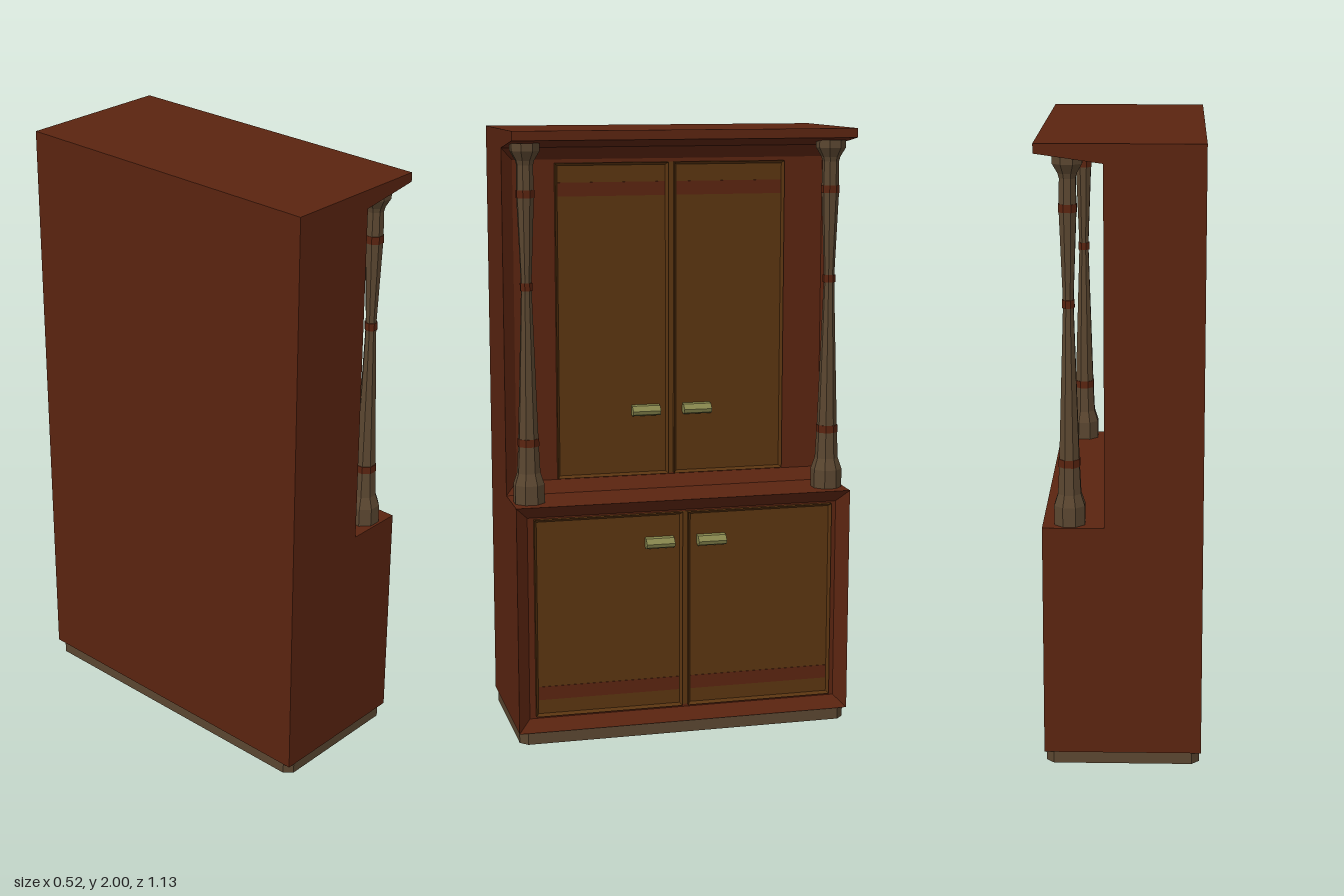
import * as THREE from 'three';

const mat = (name, color) => {
  const m = new THREE.MeshStandardMaterial({ color });
  m.name = name;
  m.flatShading = true;
  return m;
};

export function createModel() {
  const wood = mat('red wood', 0x5a2410);
  const panel = mat('door wood', 0x5a3410);
  const stone = mat('column brown', 0x5a4630);
  const brass = mat('handle brass', 0x85844c);
  const root = new THREE.Group();
  root.name = 'cabinet';

  const add = (name, geo, material, x = 0, y = 0, z = 0, parent = root) => {
    const mesh = new THREE.Mesh(geo, material);
    mesh.name = name;
    mesh.position.set(x, y, z);
    parent.add(mesh);
    return mesh;
  };
  const box = (name, m, x0, x1, y0, y1, z0, z1, parent) =>
    add(name, new THREE.BoxGeometry(x1 - x0, y1 - y0, z1 - z0), m,
      (x0 + x1) / 2, (y0 + y1) / 2, (z0 + z1) / 2, parent);
  const shapeOf = (pts) => new THREE.Shape(pts.map((p) => new THREE.Vector2(...p)));

  // Rectangular rim facing +x: straight outer sides, inner face sloping back by depth
  const rim = (x, depth, y0, y1, z0, z1, inset) => {
    const ring = (px, i) => [
      [px, y0 + i, z1 - i], [px, y0 + i, z0 + i], [px, y1 - i, z0 + i], [px, y1 - i, z1 - i]];
    const rings = [ring(x - depth, 0), ring(x, 0), ring(x - depth, inset)];
    const pos = [];
    for (let r = 0; r < 2; r++) {
      for (let k = 0; k < 4; k++) {
        const n = (k + 1) % 4;
        const a = rings[r][k], b = rings[r][n], c = rings[r + 1][n], d = rings[r + 1][k];
        pos.push(...a, ...b, ...c, ...a, ...c, ...d);
      }
    }
    const g = new THREE.BufferGeometry();
    g.setAttribute('position', new THREE.Float32BufferAttribute(pos, 3));
    g.computeVertexNormals();
    return g;
  };

  // Carcass: side silhouette with counter step and sloping cornice
  const body = new THREE.ExtrudeGeometry(shapeOf([
    [-0.26, 0.04], [0.215, 0.04], [0.215, 0.8], [0.02, 0.8], [0.02, 1.94],
    [0.05, 1.94], [0.26, 1.97], [0.26, 2], [-0.26, 2],
  ]), { depth: 1.13, bevelEnabled: false });
  add('carcass', body, wood, 0, 0, -0.565);
  add('lowerFrame', rim(0.245, 0.03, 0.04, 0.8, -0.565, 0.565, 0.04), wood);
  add('upperFrame', rim(0.05, 0.03, 0.8, 1.94, -0.565, 0.565, 0.04), wood);

  // Hollow plinth with cut corners
  const cutRect = (x0, x1, z, c) => [
    [x0 + c, -z], [x1 - c, -z], [x1, -z + c], [x1, z - c],
    [x1 - c, z], [x0 + c, z], [x0, z - c], [x0, -z + c]];
  const plinthShape = shapeOf(cutRect(-0.255, 0.24, 0.56, 0.025));
  plinthShape.holes.push(shapeOf(cutRect(-0.24, 0.225, 0.545, 0.02)));
  const plinth = new THREE.ExtrudeGeometry(plinthShape, { depth: 0.04, bevelEnabled: false });
  add('plinth', plinth.rotateX(-Math.PI / 2), stone);

  // Handle: short pull with a sloping top and undercut grip
  const handleGeo = new THREE.ExtrudeGeometry(shapeOf([
    [0, -0.012], [0.015, -0.018], [0.03, -0.012], [0.034, 0],
    [0.026, 0.008], [0.018, 0.016], [0, 0.018],
  ]), { depth: 0.095, bevelEnabled: false }).translate(0, 0, -0.0475);

  // Door pairs with moulded edges, painted bands and pulls
  const doorPair = (name, x, y0, y1, width, handleY, bandY) => {
    const pair = new THREE.Group();
    pair.name = name;
    root.add(pair);
    box('centreStrip', panel, x, x + 0.004, y0, y1, -0.012, 0.012, pair);
    for (const s of [-1, 1]) {
      const z0 = s > 0 ? 0.01 : -width, z1 = s > 0 ? width : -0.01;
      box('doorPanel', panel, x, x + 0.007, y0 + 0.004, y1 - 0.004, z0 + 0.004, z1 - 0.004, pair);
      add('doorMoulding', rim(x + 0.018, 0.016, y0, y1, z0, z1, 0.012), panel, 0, 0, 0, pair);
      box('doorBand', wood, x + 0.006, x + 0.009, bandY, bandY + 0.045, z0 + 0.01, z1 - 0.01, pair);
      add('handle', handleGeo, brass, x + 0.007, handleY, s * 0.088, pair);
    }
  };
  doorPair('lowerDoors', 0.215, 0.09, 0.755, 0.505, 0.657, 0.145);
  doorPair('upperDoors', 0.02, 0.845, 1.888, 0.388, 1.065, 1.78);

  // Eight-sided columns, waisted in the middle, with three red rings
  const profile = [
    [0, 0.8], [0.052, 0.8], [0.052, 0.862], [0.039, 0.9], [0.034, 1], [0.018, 1.48],
    [0.018, 1.53], [0.029, 1.8], [0.027, 1.89], [0.031, 1.905], [0.049, 1.935], [0.049, 1.96],
  ].map((p) => new THREE.Vector2(...p));
  const columnGeo = new THREE.LatheGeometry(profile, 8, Math.PI / 8);
  for (const s of [-1, 1]) {
    const column = new THREE.Group();
    column.name = s > 0 ? 'leftColumn' : 'rightColumn';
    column.position.set(0.16, 0, s * 0.508);
    root.add(column);
    add('shaft', columnGeo, stone, 0, 0, 0, column);
    for (const [y, r] of [[1, 0.036], [1.505, 0.021], [1.8, 0.0305]]) {
      add('ring', new THREE.CylinderGeometry(r, r, 0.025, 8, 1, false, Math.PI / 8), wood, 0, y, 0, column);
    }
  }
  return root;
}
